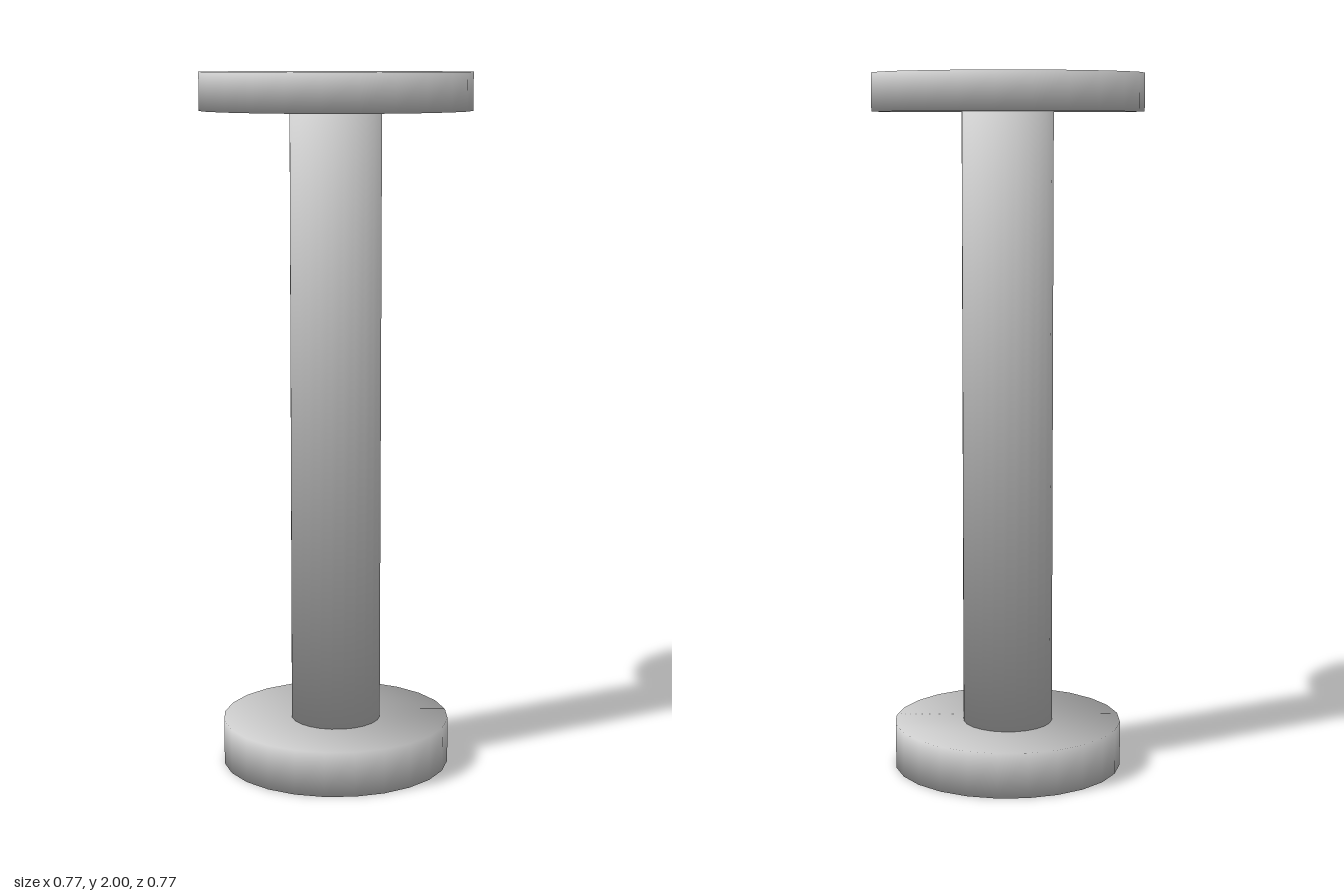
import * as THREE from 'three';

const SIDES = 24;
const material = new THREE.MeshStandardMaterial({ color: 0xcccccc });

// Closed round prism whose rim normals are shared by wall and caps (soft, pillowy shading)
function softDisc(name, radius, bottom, top) {
  const positions = [], normals = [], index = [];
  const d = Math.SQRT1_2;
  for (let i = 0; i < SIDES; i++) {
    const a = (i / SIDES) * Math.PI * 2;
    const c = Math.cos(a), s = Math.sin(a);
    positions.push(c * radius, bottom, s * radius, c * radius, top, s * radius);
    normals.push(c * d, -d, s * d, c * d, d, s * d);

    // wall
    const b0 = 2 * i, t0 = b0 + 1;
    const b1 = 2 * ((i + 1) % SIDES), t1 = b1 + 1;
    index.push(b0, t0, b1, t0, t1, b1);
    // bottom and top caps, fanned from the first rim vertex
    if (i > 0 && i < SIDES - 1) index.push(0, b0, b1, 1, t1, t0);
  }
  const geometry = new THREE.BufferGeometry();
  geometry.setAttribute('position', new THREE.Float32BufferAttribute(positions, 3));
  geometry.setAttribute('normal', new THREE.Float32BufferAttribute(normals, 3));
  geometry.setIndex(index);
  const mesh = new THREE.Mesh(geometry, material);
  mesh.name = name;
  return mesh;
}

export function createModel() {
  const group = new THREE.Group();
  group.name = 'pedestal';
  group.add(
    softDisc('base', 0.33, 0, 0.13),
    softDisc('column', 0.13, 0.13, 1.893),
    softDisc('topPlate', 0.384, 1.893, 2)
  );
  return group;
}
